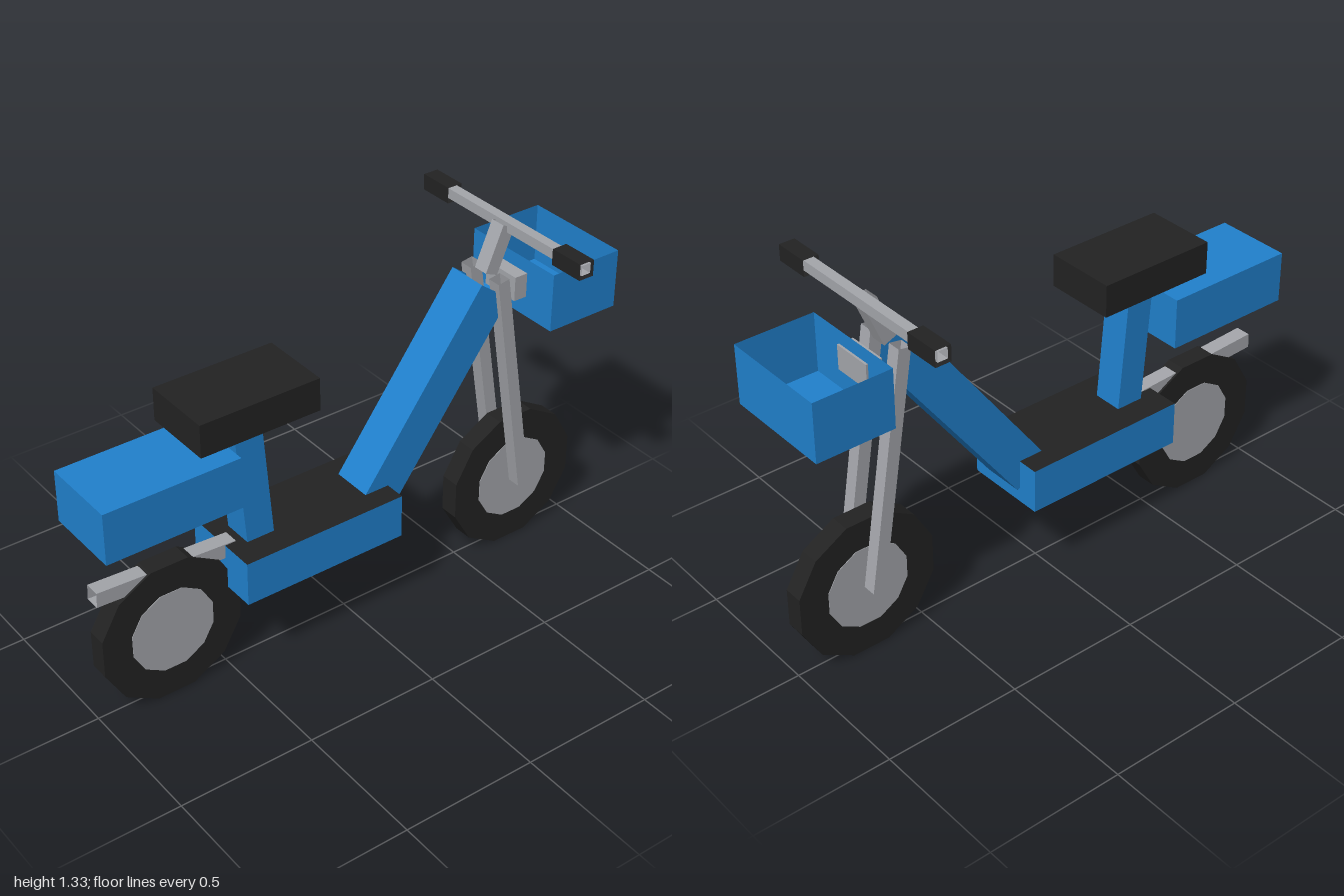
import * as THREE from 'three';

export function createModel() {
  const model = new THREE.Group();
  model.name = 'scooter';

  const paint = (name, color) =>
    new THREE.MeshStandardMaterial({ name, color, side: THREE.DoubleSide });
  const blue = paint('blue', 0x2080cc);
  const grey = paint('grey', 0xa4a6ab);
  const black = paint('black', 0x222222);

  const add = (name, geometry, material, x = 0, y = 0, z = 0) => {
    const mesh = new THREE.Mesh(geometry, material);
    mesh.name = name;
    mesh.position.set(x, y, z);
    model.add(mesh);
    return mesh;
  };

  // Closed box given by half width and its y and z limits
  const block = (name, half, y0, y1, z0, z1, material) =>
    add(name, new THREE.BoxGeometry(half * 2, y1 - y0, z1 - z0), material,
      0, (y0 + y1) / 2, (z0 + z1) / 2);

  // Box without some of its faces (0..5 = +x, -x, +y, -y, +z, -z)
  const openBox = (w, h, d, missing) => {
    const geometry = new THREE.BoxGeometry(w, h, d);
    const index = Array.from(geometry.index.array);
    geometry.setIndex(index.filter((_, i) => !missing.includes(Math.floor(i / 6))));
    geometry.clearGroups();
    return geometry;
  };

  // Open-ended square tube between two [y, z] points
  const tube = (name, w, d, from, to, material, x = 0) => {
    const dy = to[0] - from[0], dz = to[1] - from[1];
    const mesh = add(name, openBox(w, Math.hypot(dy, dz), d, [2, 3]), material,
      x, (from[0] + to[0]) / 2, (from[1] + to[1]) / 2);
    mesh.rotation.x = Math.atan2(dz, dy);
    return mesh;
  };

  // Open-ended square tube along x
  const crossTube = (name, length, size, material, x, y, z) =>
    add(name, openBox(length, size, size, [0, 1]), material, x, y, z);

  // Wheels: twelve-sided tyre with a flush hub disc
  const disc = (radius, width) =>
    new THREE.CylinderGeometry(radius, radius, width, 12)
      .toNonIndexed().rotateY(Math.PI / 12).rotateZ(Math.PI / 2);
  const flat = (geometry) => { geometry.computeVertexNormals(); return geometry; };
  for (const [side, z] of [['rear', 0.718], ['front', -0.732]]) {
    add(side + 'Tyre', flat(disc(0.272, 0.072)), black, 0, 0.262, z);
    add(side + 'Hub', flat(disc(0.16, 0.076)), grey, 0, 0.262, z);
  }

  // Footboard: blue sides, black top and bottom
  block('footboard', 0.155, 0.335, 0.5, -0.13, 0.5, [blue, blue, black, black, blue, blue]);

  // Frame and seat
  tube('downTube', 0.154, 0.152, [0.43, -0.078], [1.103, -0.573], blue);
  tube('seatPost', 0.112, 0.105, [0.42, 0.372], [1.0, 0.42], blue);
  block('seat', 0.133, 0.96, 1.08, 0.19, 0.64, black);
  block('rearBox', 0.143, 0.72, 0.91, 0.5, 1.0, blue);
  tube('rearFender', 0.057, 0.055, [0.475, 0.46], [0.502, 0.983], grey);

  // Fork
  for (const s of [1, -1]) {
    tube(s > 0 ? 'leftForkLeg' : 'rightForkLeg', 0.05, 0.047,
      [0.268, -0.731], [1.143, -0.59], grey, s * 0.0725);
  }

  // Steering
  tube('stem', 0.058, 0.053, [1.14, -0.593], [1.3, -0.66], grey);
  crossTube('handlebar', 0.79, 0.037, grey, 0, 1.298, -0.67);
  for (const s of [1, -1]) {
    crossTube(s > 0 ? 'leftGrip' : 'rightGrip', 0.132, 0.058, black, s * 0.332, 1.296, -0.67);
  }

  // Basket, open at the top, on its bracket
  block('basketBracket', 0.075, 1.035, 1.125, -0.72, -0.66, grey);
  add('basket', openBox(0.41, 0.215, 0.288, [2]), blue, 0, 1.068, -0.856);

  return model;
}
